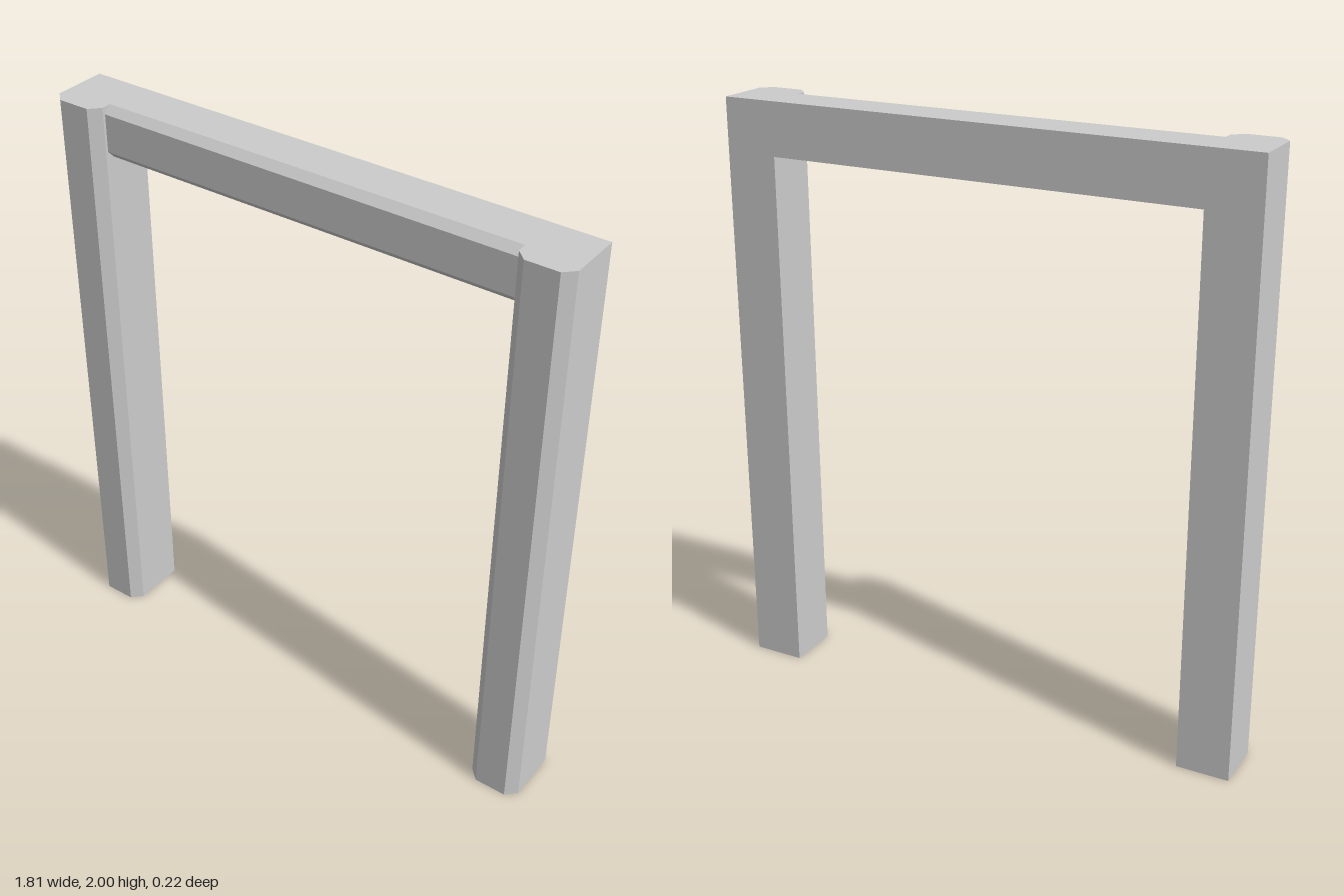
import * as THREE from 'three';

const HEIGHT = 2, OUTER = 0.905, INNER = 0.728, BACK = -0.108, FRONT = 0.108;
const CHAMFER = 0.034;

const material = new THREE.MeshStandardMaterial({ color: 0xcccccc, flatShading: true });

function extrude(points, depth) {
  const shape = new THREE.Shape(points.map(([x, y]) => new THREE.Vector2(x, y)));
  return new THREE.ExtrudeGeometry(shape, { depth, bevelEnabled: false });
}

function addPart(group, name, geometry) {
  const mesh = new THREE.Mesh(geometry, material);
  mesh.name = name;
  group.add(mesh);
  return mesh;
}

export function createModel() {
  const group = new THREE.Group();
  group.name = 'doorFrame';

  // Upright posts: plan section with both front corners chamfered
  const half = (OUTER - INNER) / 2;
  const postSection = [
    [-half, -BACK], [-half, -FRONT + CHAMFER], [-half + CHAMFER, -FRONT],
    [half - CHAMFER, -FRONT], [half, -FRONT + CHAMFER], [half, -BACK],
  ];
  for (const [name, side] of [['leftPost', 1], ['rightPost', -1]]) {
    const post = addPart(group, name, extrude(postSection, HEIGHT).rotateX(-Math.PI / 2));
    post.position.x = side * (INNER + half);
  }

  // Lintel: set back from the post fronts, chamfered along its top and bottom front edges
  const bottom = 1.823, face = 0.065, lip = 0.04;
  const lintelSection = [
    [-BACK, bottom], [-BACK, HEIGHT], [-lip, HEIGHT],
    [-face, HEIGHT - 0.025], [-face, bottom + 0.026], [-lip, bottom],
  ];
  const lintel = extrude(lintelSection, INNER * 2);
  lintel.translate(0, 0, -INNER).rotateY(Math.PI / 2);
  addPart(group, 'lintel', lintel);

  return group;
}
